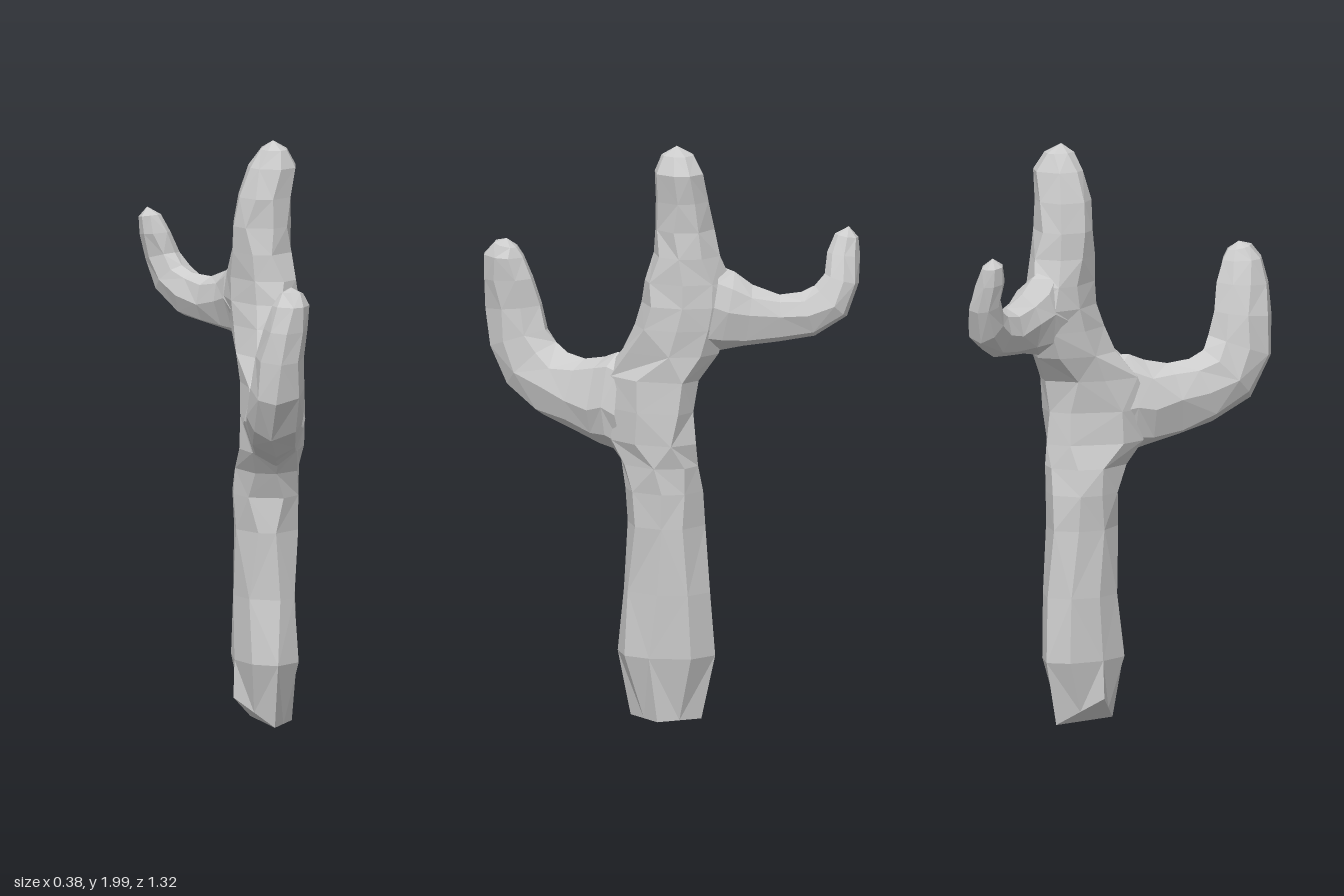
import * as THREE from 'three';

const material = new THREE.MeshStandardMaterial({
  color: 0xcccccc, flatShading: true, side: THREE.DoubleSide,
});
const SIDES = 8;

// Small seeded generator for the hand-carved irregularity
function seeded(seed) {
  return () => (seed = (seed * 16807) % 2147483647) / 2147483647;
}

// Skin a limb over rings [x, y, z, radius across, radius in the bending plane, skew];
// skew slides x along z. The limb closes on the tip; its root stays open unless
// it is the trunk, whose rings are level and whose first ring is the cut foot.
function limb(name, { rings, tip, side, seed, isTrunk = false }) {
  const random = seeded(seed);
  const lateral = new THREE.Vector3(...side).normalize();
  const centres = rings.map((r) => new THREE.Vector3(r[0], r[1], r[2]));
  const positions = [];
  const index = [];

  rings.forEach(([, , , across, inPlane, skew = 0], k) => {
    const isFoot = isTrunk && k === 0;
    const tangent = isTrunk ? new THREE.Vector3(0, 1, 0)
      : centres[Math.min(k + 1, rings.length - 1)].clone()
        .sub(centres[Math.max(k - 1, 0)]).normalize();
    const up = tangent.cross(lateral).normalize();
    for (let i = 0; i < SIDES; i++) {
      const wobble = isFoot ? 0 : (random() - 0.5) * 0.4;
      const a = ((i + wobble) / SIDES) * Math.PI * 2;
      // the foot is a diamond, the other rings are slightly uneven ovals
      const s = isFoot ? (i % 2 ? Math.SQRT1_2 : 1) : 1.025 + (random() - 0.5) * 0.04;
      const p = centres[k].clone()
        .addScaledVector(lateral, Math.cos(a) * across * s)
        .addScaledVector(up, Math.sin(a) * inPlane * s);
      p.x += skew * (p.z - centres[k].z);
      // one corner of the foot is cut away upward
      if (isFoot) p.y += Math.max(0, -Math.cos(a) * s) * 0.09;
      positions.push(p.x, p.y, p.z);
    }
  });

  for (let k = 0; k < rings.length - 1; k++) {
    for (let i = 0; i < SIDES; i++) {
      const j = (i + 1) % SIDES;
      const a = k * SIDES + i, b = k * SIDES + j;
      const c = a + SIDES, d = b + SIDES;
      if ((i + k) % 2) index.push(a, b, d, a, d, c);
      else index.push(a, b, c, b, d, c);
    }
  }

  const end = rings.length * SIDES;
  positions.push(...tip, ...centres[0].toArray());
  for (let i = 0; i < SIDES; i++) {
    const j = (i + 1) % SIDES;
    index.push(end - SIDES + i, end - SIDES + j, end);
    if (isTrunk) index.push(end + 1, j, i);
  }

  const geometry = new THREE.BufferGeometry();
  geometry.setAttribute('position', new THREE.Float32BufferAttribute(positions, 3));
  geometry.setIndex(index);
  geometry.computeVertexNormals();
  const mesh = new THREE.Mesh(geometry, material);
  mesh.name = name;
  return mesh;
}

export function createModel() {
  const group = new THREE.Group();
  group.name = 'cactus';

  // Trunk: pointed cut foot, bulges toward each arm, rounded crown
  group.add(limb('trunk', {
    rings: [
      [0.048, 0.01, -0.025, 0.105, 0.125],
      [0.055, 0.23, -0.025, 0.106, 0.17],
      [0.058, 0.45, -0.032, 0.106, 0.147],
      [0.06, 0.68, -0.028, 0.106, 0.134],
      [0.06, 0.8, -0.025, 0.11, 0.133],
      [0.06, 0.89, -0.005, 0.114, 0.137, -0.1],
      [0.06, 0.97, 0.028, 0.115, 0.168, -0.25],
      [0.06, 1.08, 0.042, 0.115, 0.178, -0.3],
      [0.065, 1.19, 0.02, 0.112, 0.173, -0.25],
      [0.072, 1.28, -0.048, 0.108, 0.164],
      [0.075, 1.37, -0.085, 0.106, 0.157, 0.1],
      [0.075, 1.45, -0.11, 0.105, 0.156, 0.18],
      [0.075, 1.53, -0.11, 0.103, 0.14, 0.15],
      [0.072, 1.62, -0.104, 0.101, 0.115],
      [0.07, 1.71, -0.1, 0.1, 0.1],
      [0.08, 1.81, -0.094, 0.095, 0.093],
      [0.107, 1.91, -0.09, 0.082, 0.087],
      [0.11, 1.97, -0.085, 0.045, 0.055],
    ],
    tip: [0.105, 2, -0.08], side: [1, 0, 0], seed: 11, isTrunk: true,
  }));

  // Front arm: thick elbow and upright end
  group.add(limb('frontArm', {
    rings: [
      [0.045, 1.087, 0.1, 0.1, 0.168],
      [0.03, 1.086, 0.15, 0.102, 0.165],
      [0.005, 1.085, 0.21, 0.1, 0.146],
      [-0.03, 1.092, 0.3, 0.096, 0.124],
      [-0.06, 1.115, 0.4, 0.094, 0.118],
      [-0.09, 1.17, 0.485, 0.095, 0.12],
      [-0.1, 1.26, 0.54, 0.09, 0.116],
      [-0.097, 1.37, 0.558, 0.081, 0.104],
      [-0.08, 1.47, 0.57, 0.073, 0.092],
      [-0.065, 1.55, 0.58, 0.062, 0.072],
      [-0.06, 1.59, 0.573, 0.038, 0.042],
    ],
    tip: [-0.06, 1.61, 0.57], side: [1, 0, 0.33], seed: 23,
  }));

  // Back arm: thinner, reaching out and hooking upward
  group.add(limb('backArm', {
    rings: [
      [0.06, 1.437, -0.19, 0.086, 0.148],
      [0.05, 1.428, -0.24, 0.08, 0.134],
      [0.03, 1.412, -0.31, 0.067, 0.102],
      [-0.005, 1.403, -0.41, 0.061, 0.08],
      [-0.045, 1.412, -0.5, 0.063, 0.077],
      [-0.08, 1.455, -0.57, 0.063, 0.075],
      [-0.108, 1.53, -0.6, 0.056, 0.06],
      [-0.135, 1.61, -0.6, 0.047, 0.056],
      [-0.152, 1.67, -0.605, 0.036, 0.04],
    ],
    tip: [-0.16, 1.7, -0.61], side: [-1, 0, 0.36], seed: 37,
  }));

  return group;
}
